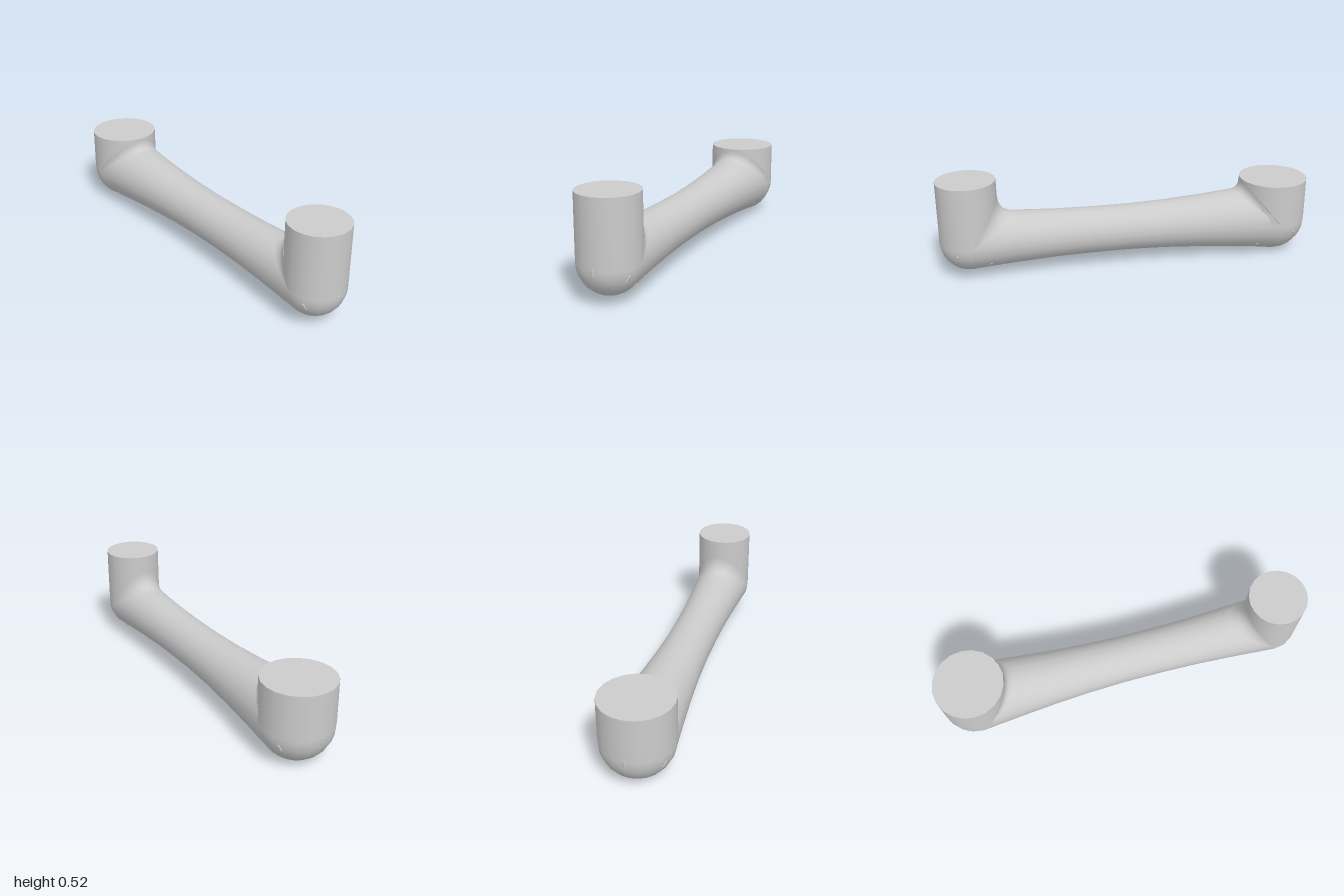
import * as THREE from 'three';
import { ParametricGeometry } from 'three/addons/geometries/ParametricGeometry.js';

const AXIS_Y = 0.188; // height of the arm's centre line
const SIDES = 20;
const material = new THREE.MeshStandardMaterial({ color: 0xcccccc });
const openMaterial = new THREE.MeshStandardMaterial({ color: 0xcccccc, side: THREE.DoubleSide });

// Arm radius along z
const ARM = [[-0.815, 0.185], [-0.6, 0.163], [-0.4, 0.145], [-0.2, 0.132], [0, 0.125],
  [0.2, 0.125], [0.4, 0.129], [0.6, 0.139], [0.845, 0.155]];

function armRadius(z) {
  for (let i = 1; i < ARM.length; i++) {
    const [z0, r0] = ARM[i - 1], [z1, r1] = ARM[i];
    if (z <= z1) return r0 + (r1 - r0) * Math.max(0, (z - z0) / (z1 - z0));
  }
  return ARM[ARM.length - 1][1];
}

function addMesh(parent, name, geometry, mat = material) {
  const mesh = new THREE.Mesh(geometry, mat);
  mesh.name = name;
  parent.add(mesh);
  return mesh;
}

// Upright socket with a domed elbow; dir is the outward z direction
function createJoint(name, dir, zc, r, top, fillet) {
  const joint = new THREE.Group();
  joint.name = name;

  // Dome and straight wall
  const profile = [];
  for (let i = 0; i <= 8; i++) {
    const a = (i / 8) * Math.PI / 2;
    profile.push(new THREE.Vector2(r * Math.sin(a), AXIS_Y - r * Math.cos(a)));
  }
  profile.push(new THREE.Vector2(r * 0.99, top));
  addMesh(joint, 'socketWall', new THREE.LatheGeometry(profile, SIDES)).position.z = zc;

  // Flat mounting face
  const face = addMesh(joint, 'mountingFace', new THREE.CircleGeometry(r * 0.99, SIDES));
  face.rotation.set(-Math.PI / 2, 0, Math.PI / 2);
  face.position.set(0, top, zc);

  // Concave fillet between the socket and the top of the arm
  const saddle = (u, v, target) => {
    const phi = (u - 0.5) * Math.PI * 0.94;
    const c = Math.cos(phi), s = Math.sin(phi);
    const zCorner = zc - dir * r * c;
    const zEnd = zCorner - dir * fillet * c;
    const rCorner = armRadius(zCorner), rEnd = armRadius(zEnd);
    const yCorner = AXIS_Y + rCorner * c;
    const b0 = (1 - v) * (1 - v), b1 = 2 * v * (1 - v), b2 = v * v;
    target.set(
      s * (b0 * r + b1 * rCorner + b2 * rEnd),
      b0 * (yCorner + fillet * c) + b1 * yCorner + b2 * (AXIS_Y + rEnd * c),
      (b0 + b1) * zCorner + b2 * zEnd
    );
  };
  addMesh(joint, 'fillet', new ParametricGeometry(saddle, 24, 8), openMaterial);

  // Six small slots along the tilted cover seam: [side, y, outward z] in radii
  const slots = [[0, -0.06, 1], [0.84, -0.3, 0.45], [-0.84, -0.3, 0.45],
    [0.71, -0.7, -0.6], [-0.71, -0.7, -0.6], [0, -1, -1.2]];
  const seamAxis = new THREE.Vector3(0, -0.92, 0.38 * dir);
  for (const [x, y, z] of slots) {
    const pz = zc + dir * z * r;
    const radius = z < 0 ? armRadius(pz) : r;
    const normal = new THREE.Vector3(x, y, dir * Math.max(z, 0)).normalize();
    const along = seamAxis.clone().addScaledVector(normal, -seamAxis.dot(normal)).normalize();
    if (along.lengthSq() < 0.5) along.set(0, 0, dir);
    const across = new THREE.Vector3().crossVectors(along, normal);
    const slot = addMesh(joint, 'slot', new THREE.CapsuleGeometry(0.009, 0.026, 3, 8));
    slot.quaternion.setFromRotationMatrix(new THREE.Matrix4().makeBasis(across, along, normal));
    slot.position.copy(normal).multiplyScalar(radius - 0.007);
    slot.position.y += AXIS_Y;
    slot.position.z += z < 0 ? pz : zc;
  }
  return joint;
}

export function createModel() {
  const model = new THREE.Group();
  model.name = 'armLink';

  // Waisted tube joining the two sockets
  const tube = new THREE.LatheGeometry(ARM.map(([z, r]) => new THREE.Vector2(r, z)), SIDES);
  tube.rotateX(Math.PI / 2);
  addMesh(model, 'arm', tube, openMaterial).position.y = AXIS_Y;

  model.add(createJoint('frontJoint', 1, 0.845, 0.155, 0.52, 0.09));
  model.add(createJoint('backJoint', -1, -0.815, 0.186, 0.417, 0.05));
  return model;
}
